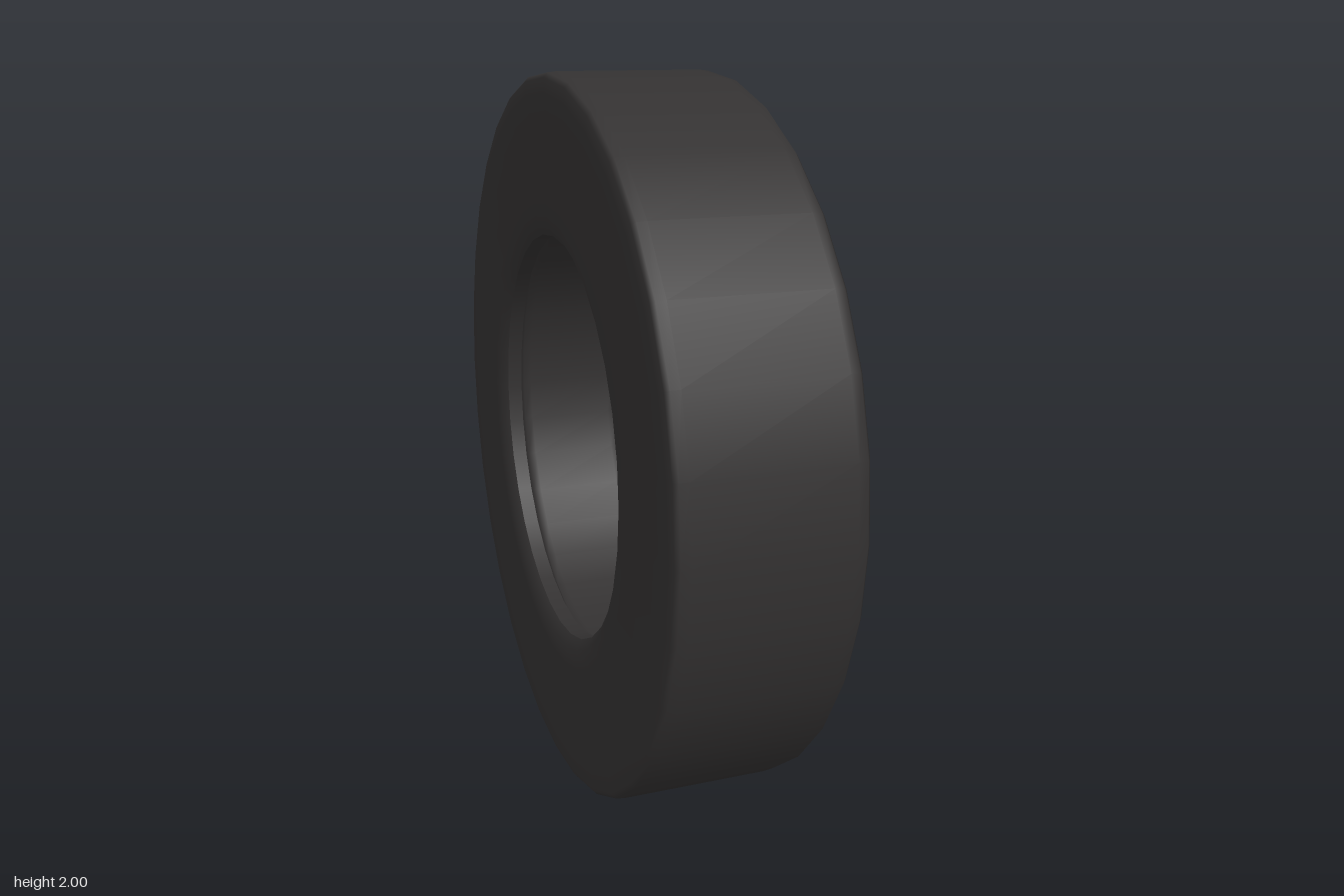
import * as THREE from 'three';

const SEGMENTS = 32;
const HALF_WIDTH = 0.235;

export function createModel() {
  const group = new THREE.Group();
  group.name = 'tire';
  const rubber = new THREE.MeshStandardMaterial({ color: 0x333131 });

  // Revolve a [radius, x] profile around the x axis through the wheel centre.
  const ring = (name, profile) => {
    const points = profile.map(([r, x]) => new THREE.Vector2(r, x));
    const geometry = new THREE.LatheGeometry(points, SEGMENTS);
    geometry.rotateZ(-Math.PI / 2);
    const mesh = new THREE.Mesh(geometry, rubber);
    mesh.name = name;
    mesh.position.y = 1;
    group.add(mesh);
  };
  const mirrored = (profile) => profile.map(([r, x]) => [r, -x]).reverse();

  // Tread and both sidewalls, softened at the shoulders
  const side = [
    [1, 0.2], [0.997, 0.225], [0.985, HALF_WIDTH],
    [0.94, HALF_WIDTH], [0.66, HALF_WIDTH], [0.6, 0.232], [0.57, 0.215],
  ];
  ring('treadAndSidewalls', [...mirrored(side), ...side]);

  // Raised bead lip on each edge of the opening
  const lip = [[0.57, 0.215], [0.57, 0.172]];
  ring('leftBead', lip);
  ring('rightBead', mirrored(lip));

  // Recessed inner wall between the beads
  const recess = [[0.57, 0.172], [0.585, 0.165], [0.605, 0.155], [0.61, 0.13]];
  ring('innerWall', [...recess, ...mirrored(recess)]);

  return group;
}
